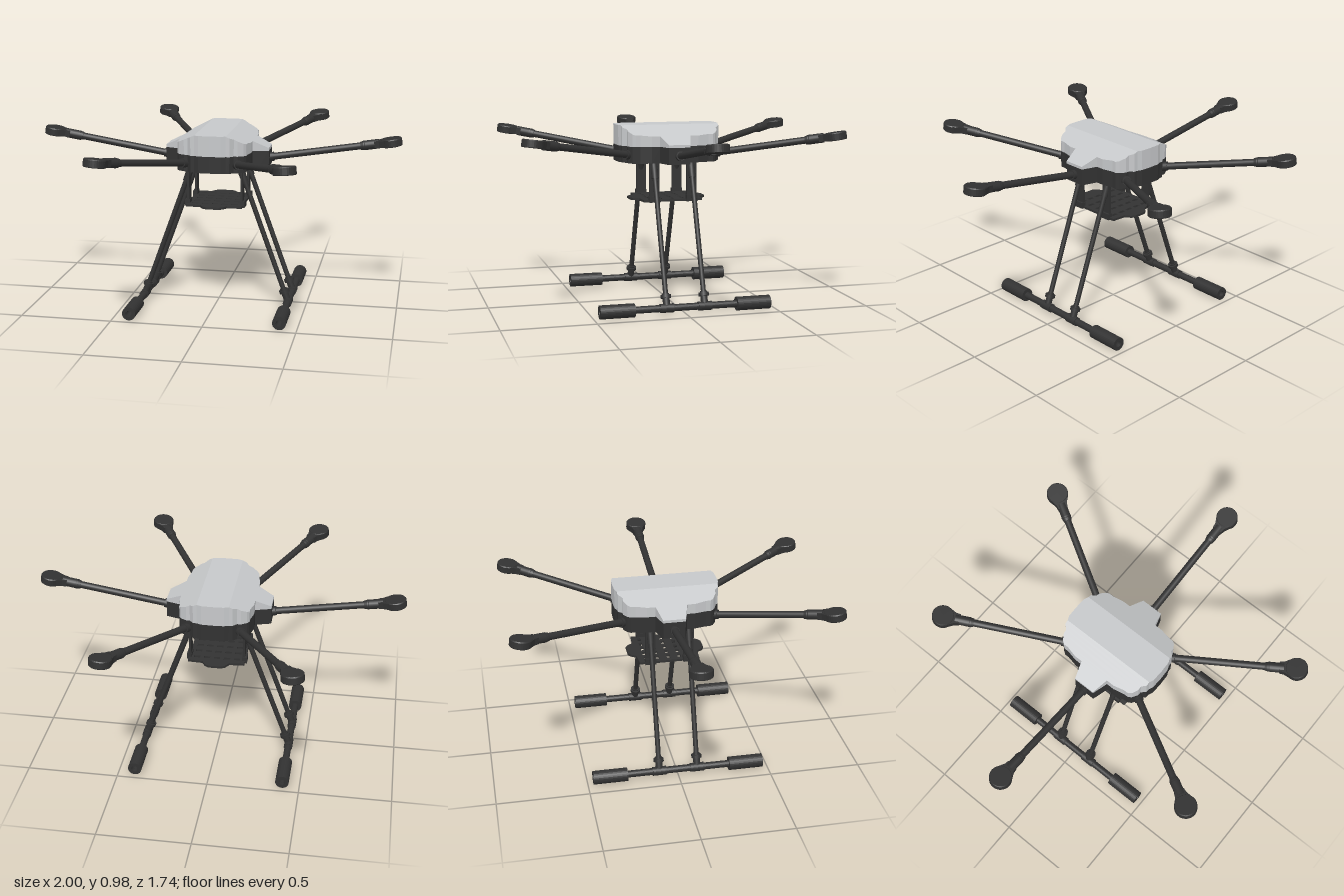
import * as THREE from 'three';

const charcoal = new THREE.MeshStandardMaterial({ color: 0x323232 });
charcoal.name = 'charcoal';
const paleGrey = new THREE.MeshStandardMaterial({ color: 0xc6c8ca });
paleGrey.name = 'paleGrey';

function add(parent, name, geometry, material = charcoal) {
  const mesh = new THREE.Mesh(geometry, material);
  mesh.name = name;
  parent.add(mesh);
  return mesh;
}

// Cylinder running between two points
function rod(parent, name, a, b, r0, r1 = r0, sides = 20) {
  const from = new THREE.Vector3(...a), to = new THREE.Vector3(...b);
  const dir = to.clone().sub(from);
  const mesh = add(parent, name, new THREE.CylinderGeometry(r1, r0, dir.length(), sides));
  mesh.position.copy(from).addScaledVector(dir, 0.5);
  mesh.quaternion.setFromUnitVectors(new THREE.Vector3(0, 1, 0), dir.normalize());
  return mesh;
}

// Hollow tube along z, centred on its own origin
function hollowTube(outer, inner, length) {
  const shape = new THREE.Shape().absarc(0, 0, outer, 0, Math.PI * 2);
  shape.holes.push(new THREE.Path().absarc(0, 0, inner, 0, Math.PI * 2, true));
  return new THREE.ExtrudeGeometry(shape, { depth: length, bevelEnabled: false, curveSegments: 14 })
    .translate(0, 0, -length / 2);
}

// Faceted solid from slices along x, each [x, half depth, bottom, top]
function slicedBody(slices) {
  const pos = [];
  const rings = slices.map(([x, h, y0, y1]) => [[x, y0, -h], [x, y0, h], [x, y1, h], [x, y1, -h]]);
  const quad = (a, b, c, d) => pos.push(...a, ...b, ...c, ...a, ...c, ...d);
  for (let i = 0; i < rings.length - 1; i++) {
    const a = rings[i], b = rings[i + 1];
    for (let k = 0; k < 4; k++) {
      const n = (k + 1) % 4;
      quad(a[k], b[k], b[n], a[n]);
    }
  }
  quad(...rings[0]);
  quad(...[...rings[rings.length - 1]].reverse());
  const geo = new THREE.BufferGeometry();
  geo.setAttribute('position', new THREE.Float32BufferAttribute(pos, 3));
  geo.computeVertexNormals();
  return geo;
}

// Half outline of the hull: [x, half depth], with a step out to the side tab
const outline = [[0, 0.285], [0.06, 0.283], [0.085, 0.273], [0.105, 0.272], [0.125, 0.25], [0.145, 0.25],
  [0.175, 0.232], [0.187, 0.215], [0.187, 0.19], [0.2, 0.13], [0.2, 0.085], [0.235, 0.075], [0.285, 0.06]];
const fullOutline = [...outline.slice(1).reverse().map(([x, h]) => [-x, h]), ...outline];

function buildBody() {
  const body = new THREE.Group();
  body.name = 'body';
  const roof = x => 0.985 - Math.max(0, Math.abs(x) - 0.085) * 0.475;
  add(body, 'topShell', slicedBody(fullOutline.map(([x, h]) => [x, h, 0.875, roof(x)])), paleGrey);
  add(body, 'lowerHull', slicedBody(fullOutline.map(([x, h]) => [x, h, 0.785, 0.875])));
  // Small pads beneath the hull
  for (const z of [-0.2, 0, 0.2]) {
    add(body, 'bellyPad', new THREE.BoxGeometry(0.09, 0.012, 0.08)).position.set(0, 0.781, z);
  }
  return body;
}

// Arm built along +x, then tilted up and turned into place
function buildArm(angle) {
  const arm = new THREE.Group();
  arm.name = 'arm';
  rod(arm, 'armSocket', [0.16, 0, 0], [0.31, 0, 0], 0.025);
  rod(arm, 'armTube', [0.16, 0, 0], [0.86, 0, 0], 0.019);
  rod(arm, 'armSleeve', [0.8, 0, 0], [0.885, 0, 0], 0.026);
  rod(arm, 'sleeveCollar', [0.785, 0, 0], [0.81, 0, 0], 0.022, 0.027);

  // Flared neck
  const neck = new THREE.Shape();
  neck.moveTo(0.86, -0.026);
  neck.lineTo(0.885, -0.03);
  neck.lineTo(0.935, -0.056);
  neck.lineTo(0.935, 0.056);
  neck.lineTo(0.885, 0.03);
  neck.lineTo(0.86, 0.026);
  add(arm, 'mountNeck', new THREE.ExtrudeGeometry(neck, { depth: 0.036, bevelEnabled: false })
    .rotateX(-Math.PI / 2).translate(0, -0.018, 0));

  // Round motor mount with softened rim
  const rim = [[0, -0.021], [0.055, -0.021], [0.058, -0.018], [0.058, 0.016], [0.054, 0.021], [0, 0.021]]
    .map(p => new THREE.Vector2(...p));
  const mount = add(arm, 'motorMount', new THREE.LatheGeometry(rim, 32));
  mount.geometry = mount.geometry.toNonIndexed();
  mount.geometry.computeVertexNormals();
  mount.position.x = 0.95;

  arm.rotation.set(0, angle, 0.158, 'YXZ');
  arm.position.y = 0.785;
  return arm;
}

function buildLandingSide(side) {
  const gear = new THREE.Group();
  gear.name = side > 0 ? 'leftLandingGear' : 'rightLandingGear';
  const foot = 0.407, skidY = 0.038;
  const legAt = y => side * (foot - (y - skidY) * 0.365);

  add(gear, 'skidTube', hollowTube(0.019, 0.015, 0.9)).position.set(side * foot, skidY, 0);
  for (const end of [-1, 1]) {
    add(gear, 'foamFoot', hollowTube(0.037, 0.017, 0.188)).position.set(side * foot, skidY, end * 0.376);

    const z = end * 0.105;
    const leg = (name, y0, y1, r0, r1) => rod(gear, name, [legAt(y0), y0, z], [legAt(y1), y1, z], r0, r1);
    leg('leg', 0.055, 0.8, 0.0135);
    leg('legSocket', 0.7, 0.8, 0.018, 0.021);
    leg('footSocket', 0.05, 0.112, 0.019);
    leg('footCollar', 0.088, 0.105, 0.028);
    add(gear, 'teeJoint', hollowTube(0.024, 0.016, 0.075)).position.set(side * foot, skidY, z);

    // Hanger that carries the tray
    add(gear, 'hanger', new THREE.BoxGeometry(0.012, 0.2, 0.055)).position.set(side * 0.148, 0.69, z);
    add(gear, 'hangerClip', new THREE.BoxGeometry(0.026, 0.034, 0.06)).position.set(side * 0.152, 0.585, z);
  }
  return gear;
}

// Slotted tray with a rounded lobe at each end
function buildTray() {
  const tray = new THREE.Shape();
  const corner = [[0.155, -0.165], [0.155, 0.165], [0.075, 0.17], [0.055, 0.2], [0.035, 0.212],
    [-0.035, 0.212], [-0.055, 0.2], [-0.075, 0.17], [-0.155, 0.165], [-0.155, -0.165],
    [-0.075, -0.17], [-0.055, -0.2], [-0.035, -0.212], [0.035, -0.212], [0.055, -0.2], [0.075, -0.17]];
  tray.setFromPoints(corner.map(p => new THREE.Vector2(...p)));
  for (const x of [-0.11, -0.055, 0, 0.055, 0.11]) {
    for (const z of [-0.125, -0.06, 0, 0.06, 0.125]) {
      const w = 0.017, d = 0.009;
      tray.holes.push(new THREE.Path([[-w, -d], [-w, d], [w, d], [w, -d]]
        .map(([a, b]) => new THREE.Vector2(x + a, z + b))));
    }
  }
  return new THREE.ExtrudeGeometry(tray, { depth: 0.012, bevelEnabled: false })
    .rotateX(-Math.PI / 2).translate(0, 0.57, 0);
}

export function createModel() {
  const model = new THREE.Group();
  model.name = 'hexacopterFrame';
  model.add(buildBody());
  for (let i = 0; i < 6; i++) model.add(buildArm(i * Math.PI / 3));
  for (const side of [-1, 1]) model.add(buildLandingSide(side));
  add(model, 'payloadTray', buildTray());
  return model;
}
